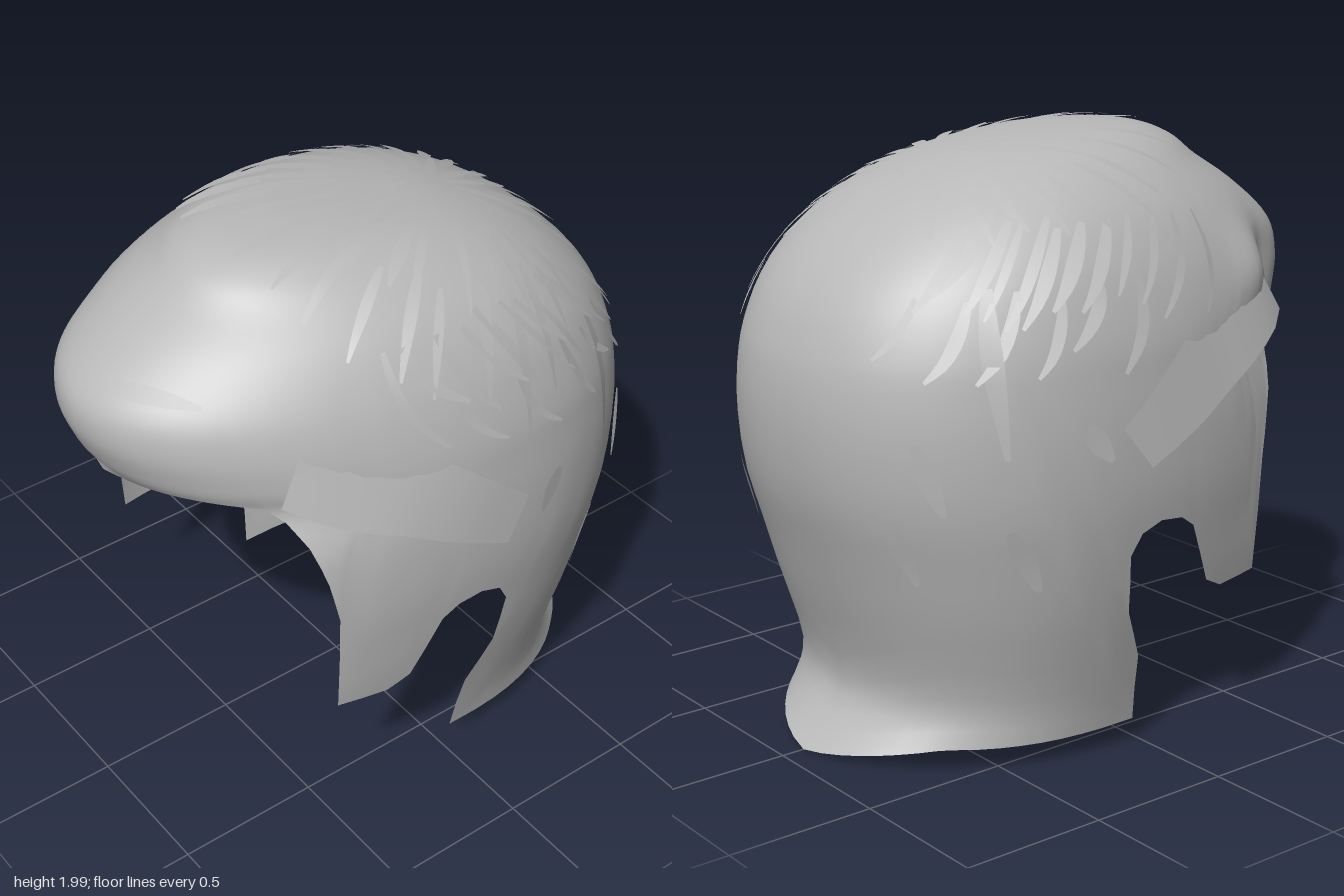
import * as THREE from 'three';
import { mergeVertices } from 'three/addons/utils/BufferGeometryUtils.js';

// Horizontal sections from crown to nape: y, front z, back z, half width, centre z
const SECTIONS = [
  [1.98, 0.25, 0.25, 0, 0.25], [1.965, 0.44, 0.02, 0.19, 0.22], [1.92, 0.57, -0.27, 0.325, 0.12],
  [1.85, 0.66, -0.48, 0.44, 0.02], [1.75, 0.82, -0.66, 0.55, -0.05], [1.62, 0.975, -0.81, 0.635, -0.1],
  [1.5, 1.0, -0.9, 0.685, -0.1], [1.38, 0.96, -0.95, 0.72, -0.1], [1.28, 0.92, -0.975, 0.735, -0.1],
  [1.12, 1.1, -0.985, 0.752, -0.1], [0.9, 1.15, -0.96, 0.757, -0.1], [0.7, 1.2, -0.9, 0.737, -0.1],
  [0.5, 1.3, -0.84, 0.707, -0.1], [0.25, 1.3, -0.765, 0.65, -0.1], [0.12, 1.3, -0.8, 0.625, -0.1],
  [0, 1.3, -0.92, 0.61, -0.1],
];
const spline = (a, b) => new THREE.SplineCurve(SECTIONS.map((s) => new THREE.Vector2(s[a], s[b])));
const frontBack = spline(1, 2), widthCentre = spline(3, 4), height = spline(0, 0);
const BACK_POWER = 2.3;

function section(u) {
  const fb = frontBack.getPoint(u), wc = widthCentre.getPoint(u);
  return { y: height.getPoint(u).x, f: fb.x, b: fb.y, w: wc.x, c: wc.y };
}

// Largest section parameter for which the test still holds
function search(test) {
  let lo = 0, hi = 1;
  for (let i = 0; i < 30; i++) {
    const mid = (lo + hi) / 2;
    if (test(mid)) lo = mid; else hi = mid;
  }
  return (lo + hi) / 2;
}
const uAt = (y) => search((u) => height.getPoint(u).x > y);

// Cosine of the angle around the head for a depth z in a section
const cosAt = (z, s) => z > s.c ? (z - s.c) / (s.f - s.c) : -Math.pow((s.c - z) / (s.c - s.b), BACK_POWER / 2);

// Angle around the head (0 = front, positive toward +x) of a side point
const phiAt = (z, y) => Math.acos(THREE.MathUtils.clamp(cosAt(z, section(uAt(y))), -1, 1));

// Angle and section parameter of a point on the upper head seen from above
function fromAbove(x, z) {
  const sinAt = (s, c) => Math.sign(x) * Math.pow(Math.abs(x) / s.w, c < 0 ? BACK_POWER / 2 : 1);
  const u = search((v) => {
    const s = section(v), c = cosAt(z, s);
    return Math.hypot(c, sinAt(s, c)) > 1;
  });
  const s = section(u), c = cosAt(z, s);
  return [Math.atan2(sinAt(s, c), c), u];
}

const bump = (p, x, y, z, r) => Math.exp(-((p.x - x) ** 2 + (p.y - y) ** 2 + (p.z - z) ** 2) / (r * r));

function surface(phi, u) {
  const s = section(u), c = Math.cos(phi), n = Math.sin(phi), e = 2 / BACK_POWER;
  const p = c >= 0
    ? new THREE.Vector3(s.w * n, s.y, s.c + (s.f - s.c) * c)
    : new THREE.Vector3(s.w * Math.sign(n) * Math.pow(Math.abs(n), e), s.y, s.c - (s.c - s.b) * Math.pow(-c, e));
  // curl and hollow on the right temple
  const push = 0.035 * bump(p, -0.58, 1.52, 0.52, 0.12) - 0.04 * bump(p, -0.46, 1.52, 0.7, 0.12);
  return p.add(new THREE.Vector3(n, 0, c).multiplyScalar(push));
}

// Hem of one half: brow, sideburn, ear notch, nape
function hemPoints() {
  const side = [[0.65, 1.32], [0.6, 1.27], [0.56, 1.19], [0.52, 1.05], [0.49, 0.9], [0.48, 0.5], [0.3, 0.49], [0.22, 0.53],
    [0.12, 0.75], [0.06, 0.79], [-0.03, 0.8], [-0.11, 0.77], [-0.15, 0.7], [-0.13, 0.5], [-0.05, 0.32], [-0.03, 0.08]];
  const hem = [], browEnd = phiAt(...side[0]);
  for (let i = 0; i < 12; i++) {
    const t = i / 12;
    hem.push([browEnd * t, 1.29 + 0.03 * t + 0.03 * Math.sin(t * Math.PI)]);
  }
  side.forEach(([z, y], i) => {
    const next = side[i + 1] ?? [z, y];
    for (let k = 0; k < (i < side.length - 1 ? 2 : 1); k++) {
      const zz = z + (next[0] - z) * k / 2, yy = y + (next[1] - y) * k / 2;
      hem.push([phiAt(zz, yy), yy]);
    }
  });
  const start = hem[hem.length - 1][0];
  for (let i = 1; i <= 16; i++) {
    const phi = start + (Math.PI - start) * i / 16;
    hem.push([phi, 0.08 - 0.08 * Math.max(0, (phi - 2.4) / (Math.PI - 2.4))]);
  }
  return hem;
}

function capGeometry() {
  const hem = hemPoints(), half = hem.length - 1, cols = half * 2, rows = 34;
  const pos = [], index = [];
  for (let j = 0; j < cols; j++) {
    const k = j <= half ? j : cols - j, sign = j <= half ? 1 : -1;
    const [phiHem, y] = hem[k], uHem = uAt(y), phiTop = Math.PI * k / half;
    for (let i = 0; i <= rows; i++) {
      const t = i / rows;
      const phi = phiTop + (phiHem - phiTop) * Math.pow(t, 2.5);
      pos.push(...surface(sign * phi, uHem * t).toArray());
      const a = j * (rows + 1) + i, d = ((j + 1) % cols) * (rows + 1) + i;
      if (i < rows) {
        index.push(a + 1, d + 1, d);
        if (i > 0) index.push(a, a + 1, d);
      }
    }
  }
  const g = new THREE.BufferGeometry();
  g.setAttribute('position', new THREE.Float32BufferAttribute(pos, 3));
  g.setIndex(index);
  const merged = mergeVertices(g, 1e-5);
  merged.computeVertexNormals();
  return merged;
}

// Tapered ribbon lying just above the cap; path(t) returns [phi, u]
function ribbonGeometry(path, width, lift, tipLift = 0, steps = 8, blunt = 0.15) {
  const pos = [], index = [], core = new THREE.Vector3(0, 1, -0.05);
  for (let i = 0; i <= steps; i++) {
    const t = i / steps, p = surface(...path(t));
    const tangent = surface(...path(t + 0.01)).sub(surface(...path(t - 0.01))).normalize();
    const out = p.clone().sub(core).normalize();
    const across = tangent.cross(out).normalize();
    const w = width * (blunt + (1 - blunt) * Math.sin(Math.PI * (0.12 + 0.84 * t)));
    p.addScaledVector(out, lift + tipLift * t * t);
    pos.push(...p.clone().addScaledVector(across, -w).toArray(), ...p.clone().addScaledVector(across, w).toArray());
    const a = i * 2;
    if (i < steps) index.push(a, a + 2, a + 1, a + 1, a + 2, a + 3);
  }
  const g = new THREE.BufferGeometry();
  g.setAttribute('position', new THREE.Float32BufferAttribute(pos, 3));
  g.setIndex(index);
  g.computeVertexNormals();
  return g;
}

export function createModel() {
  const group = new THREE.Group();
  const hair = new THREE.MeshStandardMaterial({ color: 0xb8b8b8, side: THREE.DoubleSide });
  hair.name = 'hair grey';
  const add = (geometry, name) => {
    const mesh = new THREE.Mesh(geometry, hair);
    mesh.name = name;
    group.add(mesh);
  };
  let seed = 7;
  const rand = () => (seed = (seed * 16807) % 2147483647) / 2147483647;

  add(capGeometry(), 'hairCap');

  // Crown locks fanning out from the whorl: inner radius, outer radius, count
  for (const [inner, outer, count] of [[0.07, 0.36, 17], [0.3, 0.58, 26], [0.5, 0.76, 28]]) {
    for (let i = 0; i < count; i++) {
      const angle = Math.PI * 2 * (i + 0.5 * rand()) / count;
      const r0 = inner + 0.06 * rand(), r1 = outer + 0.06 * rand(), width = 0.014 + 0.012 * rand();
      // sideways locks sweep forward, and the fan is narrower toward the back
      const path = (t) => {
        const r = r0 + (r1 - r0) * t, x = Math.sin(angle) * r, z = Math.cos(angle) * r;
        return fromAbove(0.06 + x * 0.82, -0.33 + (z > 0 ? z : z * 0.6) + 0.25 * x * x);
      };
      add(ribbonGeometry(path, width, 0.006, 0.006), 'crownLock');
    }
  }

  // Side locks hanging down: start height, length down, count, angular range
  const tiers = [[1.77, 0.27, 12, 1.2, 2.5], [1.58, 0.22, 6, 1.45, 2.6]];
  for (const side of [1, -1]) {
    for (const [top, drop, count, from, to] of tiers) {
      for (let i = 0; i < count; i++) {
        const phi = from + (to - from) * (i + 0.6 * rand()) / count;
        const u0 = uAt(top - 0.04 * rand()), u1 = uAt(top - drop * (0.8 + 0.5 * rand()));
        const bend = 0.08 + 0.08 * rand();
        add(ribbonGeometry((t) => [side * (phi + bend * t * t), u0 + (u1 - u0) * t],
          0.014 + 0.012 * rand(), 0.008, 0.008), 'sideLock');
      }
    }
    // Broad lock combed back over the temple
    const a = [phiAt(0.58, 1.44), uAt(1.44)], b = [phiAt(-0.15, 1.06), uAt(1.06)];
    add(ribbonGeometry((t) => [side * (a[0] + (b[0] - a[0]) * t), a[1] + (b[1] - a[1]) * t],
      0.13, 0.014, 0, 10, 0.6), 'templeLock');
    // Loose tufts at the sides and back: z, y, length
    for (const [z, y, len] of [[-0.3, 1.1, 0.12], [-0.52, 0.75, 0.2], [-0.78, 1.02, 0.22], [-0.82, 0.8, 0.26], [-0.61, 1.33, 0.5]]) {
      const phi = phiAt(z, y), u0 = uAt(y + len / 2), u1 = uAt(y - len / 2);
      add(ribbonGeometry((t) => [side * (phi - 0.1 * (t - 0.5)), u0 + (u1 - u0) * t], 0.035, 0.01, 0.01), 'tuft');
    }
  }
  // Short brow lock on the left
  const brow = uAt(1.66);
  add(ribbonGeometry((t) => [0.1 + 0.5 * t, brow + 0.03 * (t * t - t)], 0.03, 0.006), 'browLock');
  return group;
}
